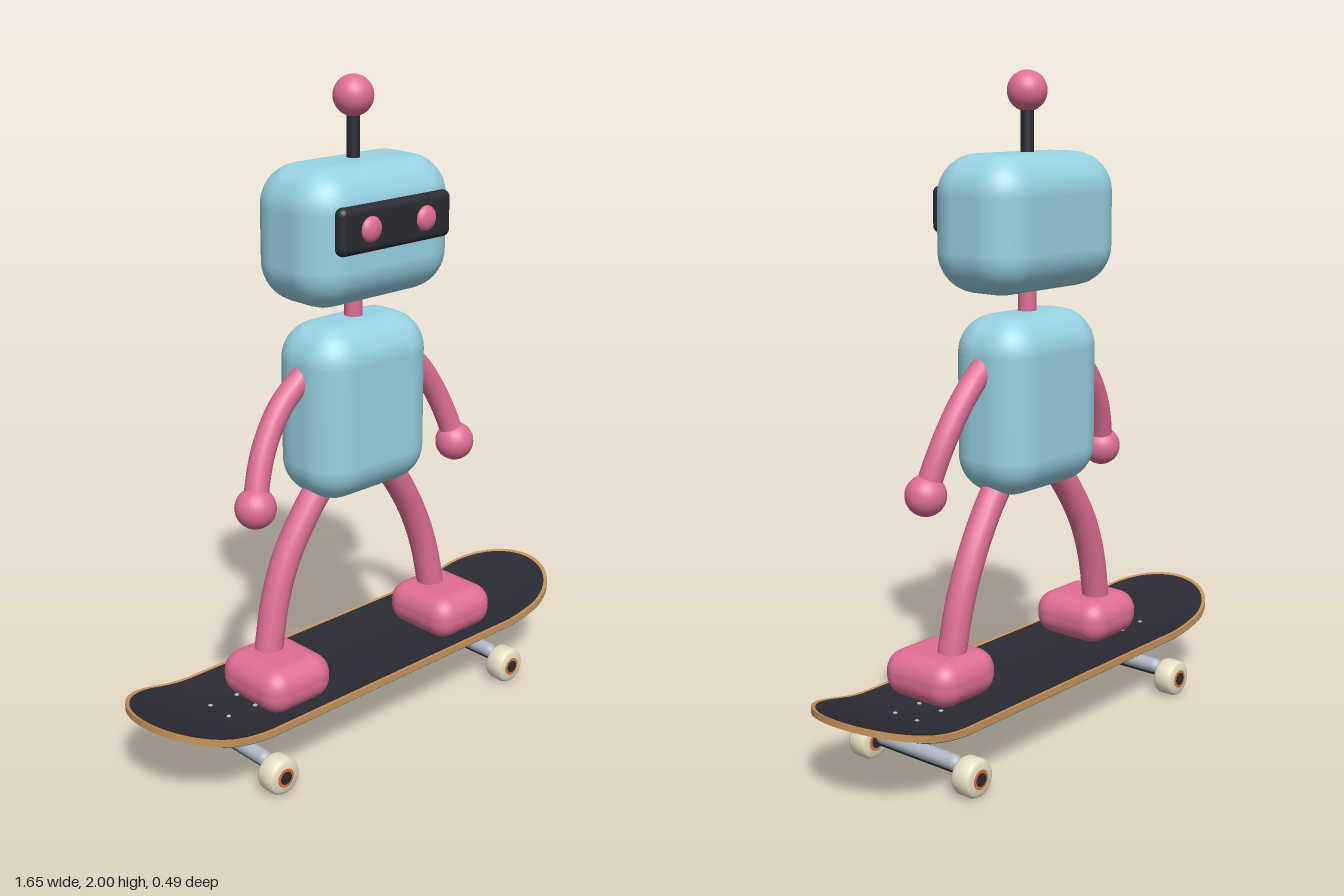
import * as THREE from 'three';
import { toCreasedNormals } from 'three/addons/utils/BufferGeometryUtils.js';
import { RoundedBoxGeometry } from 'three/addons/geometries/RoundedBoxGeometry.js';

const material = (name, color) => {
  const m = new THREE.MeshStandardMaterial({ color });
  m.name = name;
  return m;
};

// Deck: half length, half width and the radius of the rounded ends
const HALF_LENGTH = 0.826, HALF_WIDTH = 0.21;

const deckWidth = (x, inset) => {
  const r = HALF_WIDTH - inset;
  const past = Math.max(0, Math.abs(x) - (HALF_LENGTH - HALF_WIDTH));
  return Math.sqrt(Math.max(0, r * r - past * past));
};

// Height of the deck's top surface: upturned ends and a gently dished middle
const deckHeight = (x, z) => {
  const t = Math.max(0, (Math.abs(x) - 0.5) / 0.325);
  return 0.19 + 0.092 * Math.pow(t, 1.7) + 0.018 * (z / HALF_WIDTH) ** 2;
};

// Closed slab that follows the deck, from cross-sections along x
function deckSlab(halfLength, inset, top, bottom) {
  const stations = 72, across = 12, loop = 2 * (across + 1);
  const positions = [], indices = [];
  for (let i = 0; i <= stations; i++) {
    const x = halfLength * Math.sin((i / stations - 0.5) * Math.PI);
    const w = deckWidth(x, inset);
    for (let j = 0; j < loop; j++) {
      const onTop = j <= across;
      const k = onTop ? j : loop - 1 - j;
      const z = w * (2 * k / across - 1);
      positions.push(x, deckHeight(x, z) + (onTop ? top : bottom), z);
    }
  }
  for (let i = 0; i < stations; i++) {
    for (let j = 0; j < loop; j++) {
      const a = i * loop + j, b = i * loop + (j + 1) % loop;
      indices.push(a, b, a + loop, b, b + loop, a + loop);
    }
  }
  const g = new THREE.BufferGeometry();
  g.setAttribute('position', new THREE.Float32BufferAttribute(positions, 3));
  g.setIndex(indices);
  return toCreasedNormals(g, 0.6);
}

export function createModel() {
  const blue = material('sky blue', 0x98d2e3);
  const pink = material('rose pink', 0xdf6e94);
  const black = material('charcoal', 0x2a2a33);
  const wood = material('maple wood', 0xc8935a);
  const teal = material('deep teal', 0x1f6b68);
  const cream = material('cream', 0xebe4c8);
  const metal = material('grey metal', 0xb0bac6);
  const orange = material('orange', 0xd9723a);

  const model = new THREE.Group();
  model.name = 'skateboardingRobot';

  const add = (parent, name, geometry, mat, x = 0, y = 0, z = 0) => {
    const mesh = new THREE.Mesh(geometry, mat);
    mesh.name = name;
    mesh.position.set(x, y, z);
    parent.add(mesh);
    return mesh;
  };
  const group = (parent, name) => {
    const g = new THREE.Group();
    g.name = name;
    parent.add(g);
    return g;
  };
  const rounded = (w, h, d, r) => new RoundedBoxGeometry(w, h, d, 5, r);
  const ball = (r) => new THREE.SphereGeometry(r, 28, 18);
  const rod = (r, h, sides = 24) => new THREE.CylinderGeometry(r, r, h, sides);
  const limb = (points, r) => new THREE.TubeGeometry(
    new THREE.CatmullRomCurve3(points.map((p) => new THREE.Vector3(...p))), 28, r, 16);

  // Robot: torso, neck and head
  const robot = group(model, 'robot');
  add(robot, 'torso', rounded(0.446, 0.535, 0.28, 0.115), blue, 0, 1.036, 0);
  add(robot, 'neck', rod(0.027, 0.14), pink, 0, 1.335, 0);
  add(robot, 'head', rounded(0.56, 0.4, 0.326, 0.12), blue, 0, 1.567, 0.004);
  add(robot, 'visor', rounded(0.43, 0.136, 0.044, 0.021), black, 0, 1.604, 0.165);
  add(robot, 'antennaRod', rod(0.019, 0.18), black, 0, 1.84, 0);
  add(robot, 'antennaBall', ball(0.059), pink, 0, 1.941, 0);

  // Eyes, arms, hands, legs and feet on both sides
  for (const side of [1, -1]) {
    const label = side > 0 ? 'left' : 'right';
    add(robot, label + 'Eye', ball(0.037), pink, side * 0.107, 1.604, 0.186).scale.z = 0.55;

    const arm = [[0.195, 1.163, 0], [0.286, 1.08, -0.002], [0.353, 0.98, 0.006],
      [0.393, 0.885, 0.02], [0.412, 0.815, 0.032]].map(([x, y, z]) => [side * x, y, z]);
    add(robot, label + 'Shoulder', ball(0.036), pink, ...arm[0]);
    add(robot, label + 'Arm', limb(arm, 0.036), pink);
    add(robot, label + 'Hand', ball(0.061), pink, ...arm[4]);

    const leg = [[0.11, 0.83, 0], [0.193, 0.725, -0.004], [0.265, 0.605, -0.008],
      [0.315, 0.475, -0.006], [0.352, 0.3, 0]].map(([x, y, z]) => [side * x, y, z]);
    add(robot, label + 'Leg', limb(leg, 0.043), pink);
    add(robot, label + 'Foot', rounded(0.248, 0.14, 0.27, 0.063), pink, side * 0.351, 0.267, 0.04);
  }

  // Skateboard deck with grip on top and a painted underside
  const board = group(model, 'skateboard');
  add(board, 'deck', deckSlab(HALF_LENGTH, 0, 0, -0.02), wood);
  add(board, 'gripTape', deckSlab(HALF_LENGTH - 0.012, 0.012, 0.002, -0.002), black);
  add(board, 'undersidePaint', deckSlab(0.685, 0.001, -0.018, -0.022), teal);

  // Trucks: both face the same way along the board
  for (const x of [0.49, -0.49]) {
    const truck = group(board, x > 0 ? 'leftTruck' : 'rightTruck');
    truck.position.x = x;
    add(truck, 'basePlate', new THREE.BoxGeometry(0.13, 0.03, 0.12), metal, 0, 0.158, 0);
    const pin = group(truck, 'kingpin');
    pin.position.set(-0.018, 0.118, 0);
    pin.rotation.z = 0.12;
    add(pin, 'kingpinBolt', rod(0.024, 0.066, 16), black);
    add(pin, 'bushing', rod(0.03, 0.024), orange, 0, -0.004, 0);

    add(truck, 'hanger', new THREE.CapsuleGeometry(0.023, 0.28, 6, 18), metal, 0, 0.08, 0)
      .rotation.x = Math.PI / 2;
    add(truck, 'axle', rod(0.009, 0.49, 12), black, 0, 0.057, 0).rotation.x = Math.PI / 2;

    // Mounting bolts on the grip
    for (const bx of [-0.05, 0.05]) for (const z of [-0.043, 0.043]) {
      add(truck, 'bolt', rod(0.007, 0.006, 10), metal, bx, deckHeight(x + bx, z) + 0.001, z);
    }

    // Wheels with softened edges, bearing and axle nut
    const profile = [[0.0, -0.034], [0.043, -0.034], [0.052, -0.03], [0.057, -0.02],
      [0.057, 0.02], [0.052, 0.03], [0.043, 0.034], [0.0, 0.034]]
      .map(([r, h]) => new THREE.Vector2(r, h));
    for (const side of [1, -1]) {
      const wheel = group(truck, side > 0 ? 'frontWheel' : 'backWheel');
      wheel.position.set(0, 0.057, side * 0.205);
      wheel.rotation.x = side * Math.PI / 2;
      add(wheel, 'tyre', toCreasedNormals(new THREE.LatheGeometry(profile, 32), 0.7), cream);
      add(wheel, 'core', rod(0.029, 0.071), orange);
      add(wheel, 'bearing', rod(0.02, 0.074), black);
      add(wheel, 'axleNut', rod(0.013, 0.084, 6), black);
    }
  }
  return model;
}
